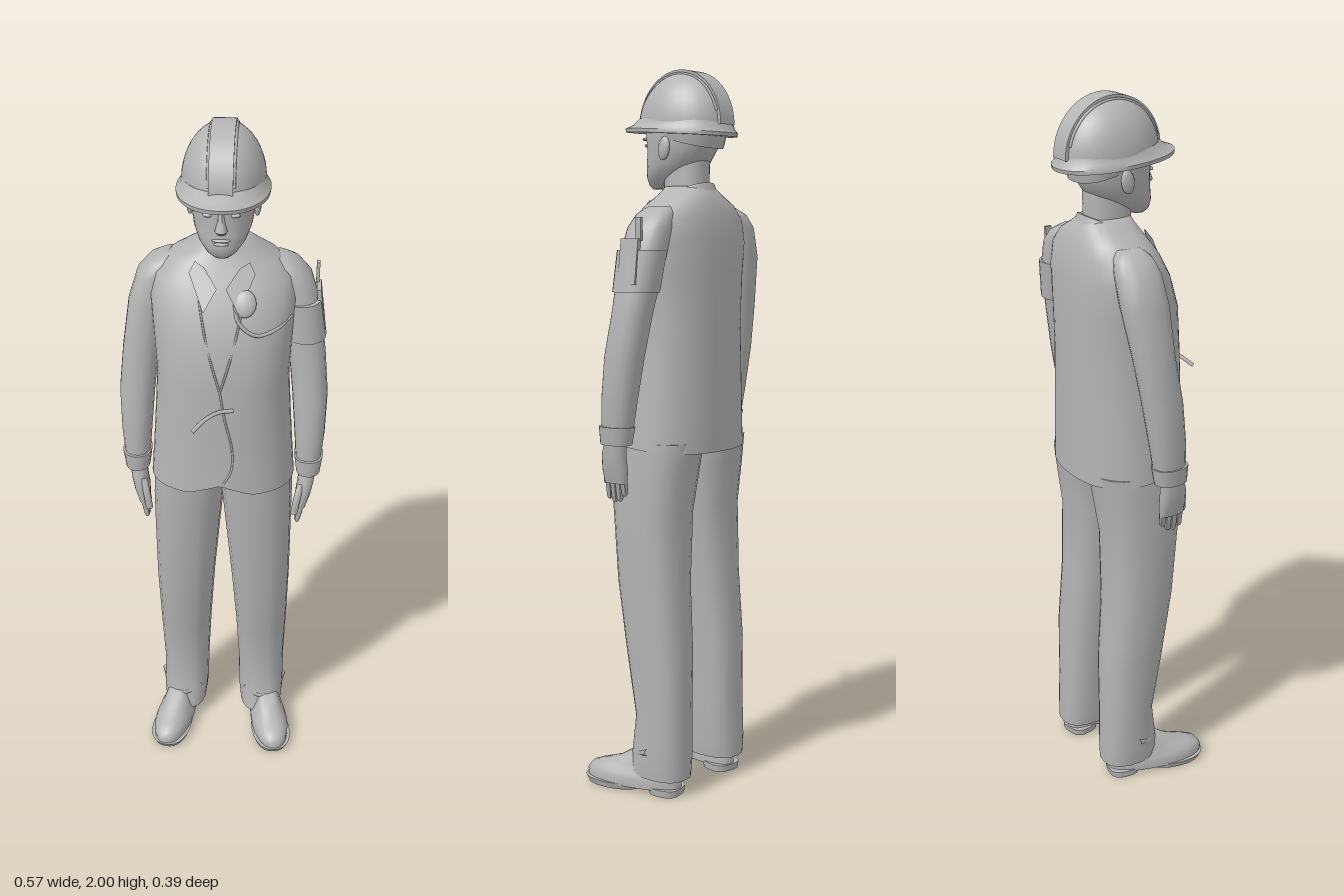
import * as THREE from 'three';
import { toCreasedNormals } from 'three/addons/utils/BufferGeometryUtils.js';

const grey = new THREE.MeshStandardMaterial({ color: 0xb4b4b4 });
grey.name = 'plain grey';
const greyTwoSided = new THREE.MeshStandardMaterial({ color: 0xb4b4b4, side: THREE.DoubleSide });
greyTwoSided.name = 'plain grey two-sided';

// Superellipse rings, bottom to top: [y, xMin, xMax, zMin, zMax], capped at both ends
function loft(sections, { n = 2.3, seg = 28, side = 1, rule = null, crease = 0.8 } = {}) {
  const pos = [], idx = [];
  const pow = v => Math.sign(v) * Math.abs(v) ** (2 / n);
  const put = (x, y, z) => {
    const p = new THREE.Vector3(x, y, z);
    if (rule) rule(p);
    pos.push(p.x, p.y, p.z);
  };
  for (const [y, x0, x1, z0, z1] of sections) {
    for (let j = 0; j < seg; j++) {
      const t = (j / seg) * Math.PI * 2;
      put(side * (x0 + x1) / 2 + (x1 - x0) / 2 * pow(Math.cos(t)), y, (z0 + z1) / 2 + (z1 - z0) / 2 * pow(Math.sin(t)));
    }
  }
  const last = sections.length - 1;
  for (const i of [0, last]) {
    const [y, x0, x1, z0, z1] = sections[i];
    put(side * (x0 + x1) / 2, y, (z0 + z1) / 2);
  }
  const base = sections.length * seg;
  for (let j = 0; j < seg; j++) {
    const k = (j + 1) % seg;
    for (let i = 0; i < last; i++) {
      const a = i * seg + j, b = i * seg + k;
      idx.push(a, a + seg, b, b, a + seg, b + seg);
    }
    idx.push(base, j, k, base + 1, last * seg + k, last * seg + j);
  }
  const g = new THREE.BufferGeometry();
  g.setAttribute('position', new THREE.Float32BufferAttribute(pos, 3));
  g.setIndex(idx);
  return toCreasedNormals(g, crease);
}
const sym = (y, x, z0, z1) => [y, -x, x, z0, z1];

const jacketRows = [
  sym(0.97, 0.2, -0.17, 0.15), sym(1.08, 0.193, -0.17, 0.146), sym(1.2, 0.185, -0.17, 0.14),
  sym(1.32, 0.178, -0.17, 0.138), sym(1.45, 0.185, -0.17, 0.125), sym(1.54, 0.193, -0.168, 0.092),
  sym(1.6, 0.18, -0.16, 0.06), sym(1.64, 0.14, -0.15, 0.035), sym(1.67, 0.085, -0.135, 0.02), sym(1.69, 0.06, -0.12, 0.01),
];

// Depth of the jacket front at a point, used to lay details on it
function frontZ(x, y) {
  let i = 0;
  while (i < jacketRows.length - 2 && jacketRows[i + 1][0] < y) i++;
  const a = jacketRows[i], b = jacketRows[i + 1], t = (y - a[0]) / (b[0] - a[0]);
  const [, , rx, z0, z1] = a.map((v, k) => v + (b[k] - v) * t);
  const u = Math.min(1, Math.abs(x) / rx);
  return (z0 + z1) / 2 + (z1 - z0) / 2 * (1 - u ** 2.4) ** (1 / 2.4);
}

export function createModel() {
  const model = new THREE.Group();
  model.name = 'worker';
  const add = (name, geometry, parent = model, material = grey) => {
    const m = new THREE.Mesh(geometry, material);
    m.name = name;
    parent.add(m);
    return m;
  };
  const tube = (name, pts, r, parent = model) => {
    const path = new THREE.CatmullRomCurve3(pts.map(p => new THREE.Vector3(...p)));
    return add(name, new THREE.TubeGeometry(path, 20, r, 6), parent);
  };
  const seam = (name, pts, r = 0.003) => tube(name, pts.map(([x, y]) => [x, y, frontZ(x, y)]), r);
  const ball = (name, x, y, z, sx, sy, sz) => {
    const m = add(name, new THREE.SphereGeometry(1, 14, 10));
    m.position.set(x, y, z);
    m.scale.set(sx, sy, sz);
    return m;
  };

  // Jacket with a raised, notched front hem
  add('jacket', loft(jacketRows, { n: 2.4, seg: 48, rule: p => {
    if (p.y < 0.98) p.y += (p.z + 0.17) * 0.1 + (p.z > 0.1 ? 0.03 * Math.max(0, 1 - Math.abs(p.x) / 0.09) : 0);
  } }));
  for (const s of [1, -1]) {
    seam('lapelEdge', [[s * 0.065, 1.63], [s * 0.05, 1.53], [s * 0.025, 1.42], [0, 1.33]]);
    // Collar leaf lying on the chest
    const leaf = new THREE.Shape([[0.07, 1.655], [0.085, 1.63], [0.045, 1.545], [0.012, 1.6], [0.045, 1.645]].map(([x, y]) => new THREE.Vector2(s * x, y)));
    const g = new THREE.ShapeGeometry(leaf), p = g.attributes.position;
    for (let i = 0; i < p.count; i++) p.setZ(i, frontZ(p.getX(i), p.getY(i)) + 0.012);
    g.computeVertexNormals();
    add('collarLeaf', g, model, greyTwoSided);
  }
  seam('frontOpening', [[0, 1.33], [0.012, 1.25], [0.033, 1.15], [0.03, 1.08], [0.01, 1.04]]);
  seam('chestFlapEdge', [[0.035, 1.56], [0.045, 1.52], [0.09, 1.485], [0.14, 1.49], [0.18, 1.505]], 0.005);
  tube('zipPull', [[0.035, 1.275, 0.137], [0, 1.275, 0.146], [-0.035, 1.265, 0.165], [-0.07, 1.24, 0.192]], 0.006);
  ball('chestRadio', 0.06, 1.565, frontZ(0.06, 1.565) + 0.004, 0.03, 0.036, 0.012).rotation.x = -0.5;

  // Standing collar sloping down towards the front
  add('collar', loft([sym(1.6, 0.088, -0.14, 0.04), sym(1.64, 0.08, -0.132, 0.035), sym(1.675, 0.066, -0.122, 0.022)],
    { rule: p => { p.y += -0.4 * (p.z + 0.06); } }));

  // Arms, cuffs and hands
  for (const s of [1, -1]) {
    const side = s > 0 ? 'left' : 'right';
    const arm = new THREE.Group();
    arm.name = side + 'Arm';
    model.add(arm);
    add(side + 'Sleeve', loft([
      [1.03, 0.205, 0.274, -0.045, 0.045], [1.12, 0.198, 0.282, -0.06, 0.042], [1.24, 0.188, 0.285, -0.08, 0.03],
      [1.36, 0.175, 0.274, -0.1, 0.012], [1.5, 0.15, 0.255, -0.125, 0.005], [1.58, 0.13, 0.23, -0.128, -0.005],
      [1.615, 0.12, 0.2, -0.12, -0.015], [1.635, 0.11, 0.165, -0.1, -0.035],
    ], { side: s, seg: 18 }), arm);
    add(side + 'Cuff', loft([[1.0, 0.206, 0.274, -0.043, 0.05], [1.05, 0.199, 0.281, -0.052, 0.052]], { side: s, seg: 18 }), arm);
    add(side + 'Palm', loft([
      [0.89, 0.207, 0.238, -0.018, 0.058], [0.93, 0.207, 0.25, -0.022, 0.06],
      [0.97, 0.212, 0.258, -0.022, 0.054], [1.02, 0.215, 0.262, -0.025, 0.038],
    ], { side: s, seg: 16 }), arm);
    for (let i = 0; i < 4; i++) {
      const z = -0.009 + i * 0.018, tip = 0.835 + [0.02, 0.004, 0, 0.008][i];
      add(side + 'Finger', loft([
        [tip, 0.21, 0.219, z, z + 0.01], [tip + 0.008, 0.207, 0.223, z - 0.005, z + 0.013],
        [0.91, 0.215, 0.236, z - 0.01, z + 0.01],
      ], { side: s, seg: 8 }), arm);
    }
    tube(side + 'Thumb', [[s * 0.222, 0.97, 0.042], [s * 0.212, 0.93, 0.062], [s * 0.205, 0.885, 0.068]], 0.01, arm);
  }

  // Arm band with its holder on the left sleeve
  add('armBand', loft([[1.41, 0.165, 0.274, -0.117, 0.014], [1.52, 0.15, 0.259, -0.13, 0.01]], { seg: 18 }));
  const holder = add('armBandHolder', new THREE.BoxGeometry(0.012, 0.12, 0.06));
  holder.position.set(0.256, 1.49, -0.06);
  holder.rotation.z = 0.12;
  const clip = add('armBandClip', new THREE.BoxGeometry(0.009, 0.06, 0.018));
  clip.position.set(0.245, 1.575, -0.085);

  // Trousers and shoes
  for (const s of [1, -1]) {
    const side = s > 0 ? 'left' : 'right';
    add(side + 'TrouserLeg', loft([
      [0.05, 0.056, 0.186, -0.142, 0.045], [0.1, 0.05, 0.19, -0.142, 0.03], [0.22, 0.047, 0.188, -0.138, 0.015],
      [0.4, 0.038, 0.193, -0.138, 0.048], [0.6, 0.025, 0.197, -0.122, 0.08], [0.8, 0.008, 0.197, -0.12, 0.1],
      [0.92, -0.003, 0.197, -0.138, 0.112], [1.0, -0.01, 0.194, -0.15, 0.118],
    ], { side: s, n: 2.5, seg: 20 }));
    // Small fold above each hem
    tube(side + 'HemFold', [[s * 0.19, 0.13, -0.06], [s * 0.165, 0.11, 0.003], [s * 0.12, 0.105, 0.024], [s * 0.07, 0.125, 0.003]], 0.009);

    const shoe = new THREE.Group();
    shoe.name = side + 'Shoe';
    shoe.position.x = s * 0.14;
    shoe.rotation.y = s * 0.2;
    model.add(shoe);
    // The outline is narrower towards the heel
    const rule = p => { p.x *= 0.86 + 0.14 * THREE.MathUtils.clamp((p.z + 0.06) / 0.13, 0, 1); };
    add(side + 'ShoeUpper', loft([
      sym(0.014, 0.057, -0.122, 0.174), sym(0.035, 0.058, -0.122, 0.175), sym(0.052, 0.053, -0.12, 0.162),
      sym(0.064, 0.046, -0.118, 0.132), sym(0.082, 0.042, -0.115, 0.075), sym(0.11, 0.038, -0.11, 0.03),
    ], { rule }), shoe);
    add(side + 'ShoeSole', loft([sym(0, 0.054, 0, 0.17), sym(0.018, 0.06, -0.01, 0.179)], { rule }), shoe);
    add(side + 'ShoeHeel', loft([sym(0, 0.052, -0.123, -0.035), sym(0.02, 0.054, -0.126, -0.03)], { rule, n: 3 }), shoe);
  }

  // Neck, head and face
  add('neck', loft([sym(1.58, 0.062, -0.11, 0.025), sym(1.66, 0.054, -0.108, 0.018), sym(1.76, 0.054, -0.11, 0.02)]));
  add('head', loft([
    sym(1.685, 0.022, 0.025, 0.066), sym(1.697, 0.04, -0.015, 0.077), sym(1.72, 0.06, -0.06, 0.08),
    sym(1.75, 0.074, -0.105, 0.075), sym(1.79, 0.081, -0.132, 0.073), sym(1.84, 0.085, -0.145, 0.077), sym(1.9, 0.08, -0.13, 0.065),
  ], { n: 2.15, crease: 1.2 }));
  const nose = add('nose', loft([sym(1.757, 0.012, 0.06, 0.083), sym(1.766, 0.016, 0.06, 0.093), sym(1.79, 0.009, 0.06, 0.083), sym(1.815, 0.007, 0.055, 0.077)], { seg: 10 }));
  nose.position.z = 0.001;
  ball('upperLip', 0, 1.738, 0.073, 0.024, 0.005, 0.009);
  ball('lowerLip', 0, 1.729, 0.074, 0.02, 0.005, 0.009);
  for (const s of [1, -1]) {
    ball('eye', s * 0.033, 1.803, 0.064, 0.014, 0.006, 0.008);
    ball('brow', s * 0.034, 1.821, 0.066, 0.021, 0.005, 0.009).rotation.z = -s * 0.1;
    ball('ear', s * 0.085, 1.79, -0.035, 0.01, 0.032, 0.019).rotation.x = -0.15;
  }

  // Safety helmet: shell, raised crown ridge, brim and inner strap
  const helmet = new THREE.Group();
  helmet.name = 'helmet';
  helmet.position.set(0, 1.85, -0.042);
  model.add(helmet);
  add('helmetShell', new THREE.SphereGeometry(1, 36, 14, 0, Math.PI * 2, 0, Math.PI / 2), helmet).scale.set(0.107, 0.146, 0.14);
  const ridgeGeo = new THREE.CylinderGeometry(1, 1, 0.06, 28, 1, false, 0, Math.PI);
  ridgeGeo.rotateZ(Math.PI / 2);
  add('helmetRidge', ridgeGeo, helmet, greyTwoSided).scale.set(1, 0.15, 0.143);
  for (const s of [1, -1]) {
    const path = [];
    for (let i = 0; i <= 12; i++) {
      const t = 0.25 + (i / 12) * (Math.PI - 0.5);
      path.push([s * 0.032, 0.1395 * Math.sin(t), 0.134 * Math.cos(t)]);
    }
    tube('helmetRib', path, 0.004, helmet);
  }
  add('helmetBrim', loft([sym(1.832, 0.118, -0.193, 0.144), sym(1.842, 0.119, -0.195, 0.145), sym(1.852, 0.11, -0.186, 0.118), sym(1.87, 0.104, -0.18, 0.096)],
    { n: 2.1, seg: 36, rule: p => { p.y += p.z * 0.07; } }));
  add('helmetStrap', loft([sym(1.79, 0.083, -0.146, 0.03), sym(1.815, 0.089, -0.152, 0.04), sym(1.84, 0.091, -0.155, 0.05)],
    { rule: p => { p.y += 0.25 * (p.z + 0.14); } }));
  return model;
}
